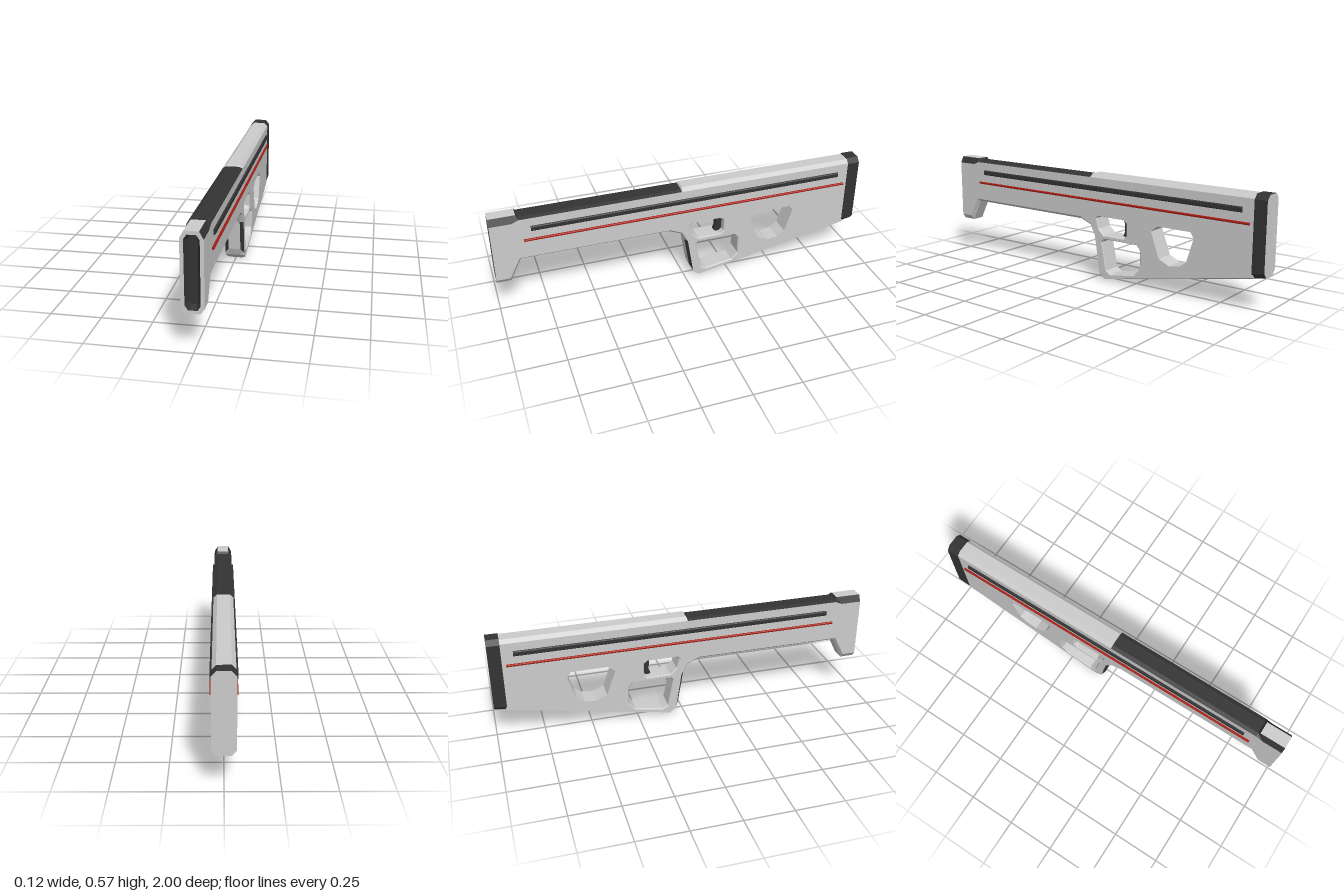
import * as THREE from 'three';

const SIDE = 0.052, MID = 0.033; // half widths of the side walls and of the flat edge band

const grey = new THREE.MeshStandardMaterial({ color: 0xcccccc, flatShading: true });
const dark = new THREE.MeshStandardMaterial({ color: 0x333333, flatShading: true });
const red = new THREE.MeshStandardMaterial({ color: 0xa81a10, flatShading: true });

// Flat quads between successive rings; only the listed edges if given
function loft(rings, edges) {
  const pos = [], n = rings[0].length;
  for (let r = 0; r < rings.length - 1; r++) {
    const [a, b] = [rings[r], rings[r + 1]];
    for (let i = 0; i < n; i++) {
      if (edges && !edges.includes(i)) continue;
      const j = (i + 1) % n;
      for (const p of [a[i], b[i], b[j], a[i], b[j], a[j]]) pos.push(...p);
    }
  }
  const g = new THREE.BufferGeometry();
  g.setAttribute('position', new THREE.Float32BufferAttribute(pos, 3));
  g.computeVertexNormals();
  return g;
}

const shapeOf = (pts) => new THREE.Shape(pts.map(([x, y]) => new THREE.Vector2(x, y)));
const atX = (pts, x) => pts.map(([z, y]) => [x, y, z]);
const atZ = (pts, z) => pts.map(([x, y]) => [x, y, z]);

// Tall octagon in x and y, counterclockwise
function octagon(w, y0, y1, cx, cy) {
  return [[w, y0 + cy], [w, y1 - cy], [w - cx, y1], [cx - w, y1],
    [-w, y1 - cy], [-w, y0 + cy], [cx - w, y0], [w - cx, y0]];
}

// Enlarge a loop around its centre by a fixed margin
function grow(pts, d) {
  const cz = pts.reduce((s, p) => s + p[0], 0) / pts.length;
  const cy = pts.reduce((s, p) => s + p[1], 0) / pts.length;
  return pts.map(([z, y]) => {
    const l = Math.hypot(z - cz, y - cy);
    return [z + (z - cz) * d / l, y + (y - cy) * d / l];
  });
}

// Body outline: z, y of the edge band, then z, y of the side wall
const outline = [
  [1, 0.565, 1, 0.53], [0.865, 0.565, 0.89, 0.53], [0.855, 0.553, 0.855, 0.545],
  [0.02, 0.553, 0.02, 0.545], [0.015, 0.563, 0.015, 0.545],
  [-0.94, 0.563, -0.94, 0.545], [-0.94, 0.163, -0.94, 0.173],
  [-0.08, 0, -0.08, 0.006], [-0.045, 0.03, -0.045, 0.03],
  [-0.028, 0.07, -0.043, 0.045], [0, 0.24, -0.014, 0.235],
  [0.025, 0.283, 0.017, 0.295], [0.09, 0.31, 0.085, 0.325],
  [0.865, 0.31, 0.872, 0.325], [0.925, 0.19, 0.93, 0.215], [1, 0.19, 1, 0.215],
];

const holes = [
  { name: 'triggerOpening', bevel: 0.006, pts: [[-0.025, 0.33], [-0.04, 0.342], [-0.195, 0.342],
    [-0.217, 0.325], [-0.217, 0.26], [-0.2, 0.243], [-0.075, 0.243], [-0.04, 0.275]] },
  { name: 'gripOpening', bevel: 0.006, pts: [[-0.06, 0.205], [-0.077, 0.222], [-0.28, 0.222],
    [-0.303, 0.195], [-0.303, 0.1], [-0.27, 0.062], [-0.12, 0.037], [-0.09, 0.055]] },
  { name: 'stockOpening', bevel: 0, pts: [[-0.41, 0.34], [-0.6, 0.34], [-0.62, 0.31],
    [-0.58, 0.185], [-0.54, 0.155], [-0.48, 0.147], [-0.42, 0.175], [-0.37, 0.31]] },
];

export function createModel() {
  const model = new THREE.Group();
  model.name = 'bullpupBlaster';
  const add = (name, geometry, material = grey) => {
    const mesh = new THREE.Mesh(geometry, material);
    mesh.name = name;
    model.add(mesh);
    return mesh;
  };

  const band = outline.map((p) => [p[0], p[1]]);
  const wall = outline.map((p) => [p[2], p[3]]);

  // Side walls with their openings
  for (const s of [1, -1]) {
    const flat = (pts) => shapeOf(pts.map(([z, y]) => [-s * z, y]));
    const shape = flat(wall);
    shape.holes = holes.map((h) => flat(grow(h.pts, h.bevel)));
    const g = new THREE.ShapeGeometry(shape).rotateY(s * Math.PI / 2).translate(s * SIDE, 0, 0);
    add(s > 0 ? 'leftSideWall' : 'rightSideWall', g);
  }

  // Edge band and chamfers, with the dark handguard cover and grip edges
  const allEdges = outline.map((_, i) => i).filter((i) => i !== 15);
  const darkBand = [1, 2], darkChamfer = [0, 1, 2, 9];
  const strips = [
    ['edgeBand', [atX(band, -MID), atX(band, MID)], darkBand],
    ['rightChamfer', [atX(wall, -SIDE), atX(band, -MID)], darkChamfer],
    ['leftChamfer', [atX(band, MID), atX(wall, SIDE)], darkChamfer],
  ];
  for (const [name, rings, darkEdges] of strips) {
    add(name, loft(rings, allEdges.filter((i) => !darkEdges.includes(i))));
    add(name + 'Dark', loft(rings, darkEdges), dark);
  }

  // Inner walls of the openings
  for (const { name, bevel, pts } of holes) {
    const inner = [...pts].reverse(), outer = grow(inner, bevel), x = SIDE - bevel;
    const rings = [atX(inner, -x), atX(inner, x)];
    if (bevel) rings.splice(0, 2, atX(outer, -SIDE), ...rings, atX(outer, SIDE));
    add(name, loft(rings));
  }

  // Muzzle rim and dark tapered recess
  const rim = shapeOf([[MID, 0.19], [SIDE, 0.215], [SIDE, 0.53], [MID, 0.565],
    [-MID, 0.565], [-SIDE, 0.53], [-SIDE, 0.215], [-MID, 0.19]]);
  const mouth = octagon(0.035, 0.205, 0.548, 0.014, 0.022);
  const floor = octagon(0.019, 0.22, 0.535, 0.008, 0.014);
  rim.holes.push(shapeOf(mouth));
  add('muzzleRim', new THREE.ShapeGeometry(rim).translate(0, 0, 1));
  add('muzzleRecess', loft([atZ(floor, 0.965), atZ(mouth, 1)]), dark);
  add('muzzleFloor', new THREE.ShapeGeometry(shapeOf(floor)).translate(0, 0, 0.965), dark);

  // Butt pad: dark sides, light back plate
  const padFront = octagon(0.055, 0.165, 0.568, 0.023, 0.025);
  const padBack = octagon(0.055, 0.176, 0.568, 0.023, 0.025);
  add('buttPad', loft([atZ(padFront, -0.935), atZ(padBack, -1)]), dark);
  add('buttPadFront', new THREE.ShapeGeometry(shapeOf(padFront)).translate(0, 0, -0.935), dark);
  add('buttPlate', new THREE.ShapeGeometry(shapeOf(padBack)).rotateY(Math.PI).translate(0, 0, -1));

  // Raised strips along both sides
  const rail = (name, y0, y1, z0, z1, c, material) => {
    for (const s of [1, -1]) {
      const shape = shapeOf([[0.05, y0], [0.062 - c, y0], [0.062, y0 + c],
        [0.062, y1 - c], [0.062 - c, y1], [0.05, y1]].map(([x, y]) => [s * x, y]));
      const g = new THREE.ExtrudeGeometry(shape, { depth: z1 - z0, bevelEnabled: false });
      add((s > 0 ? 'left' : 'right') + name, g.translate(0, 0, z0), material);
    }
  };
  rail('SideRail', 0.475, 0.501, -0.875, 0.8, 0.004, dark);
  rail('AccentStrip', 0.42, 0.431, -0.915, 0.84, 0.003, red);

  // Trigger
  const trigger = shapeOf([[0.168, 0.346], [0.182, 0.32], [0.185, 0.275], [0.175, 0.25],
    [0.19, 0.242], [0.222, 0.25], [0.222, 0.346]]);
  add('trigger', new THREE.ExtrudeGeometry(trigger, { depth: 0.03, bevelEnabled: false })
    .rotateY(Math.PI / 2).translate(-0.015, 0, 0), dark);

  return model;
}
